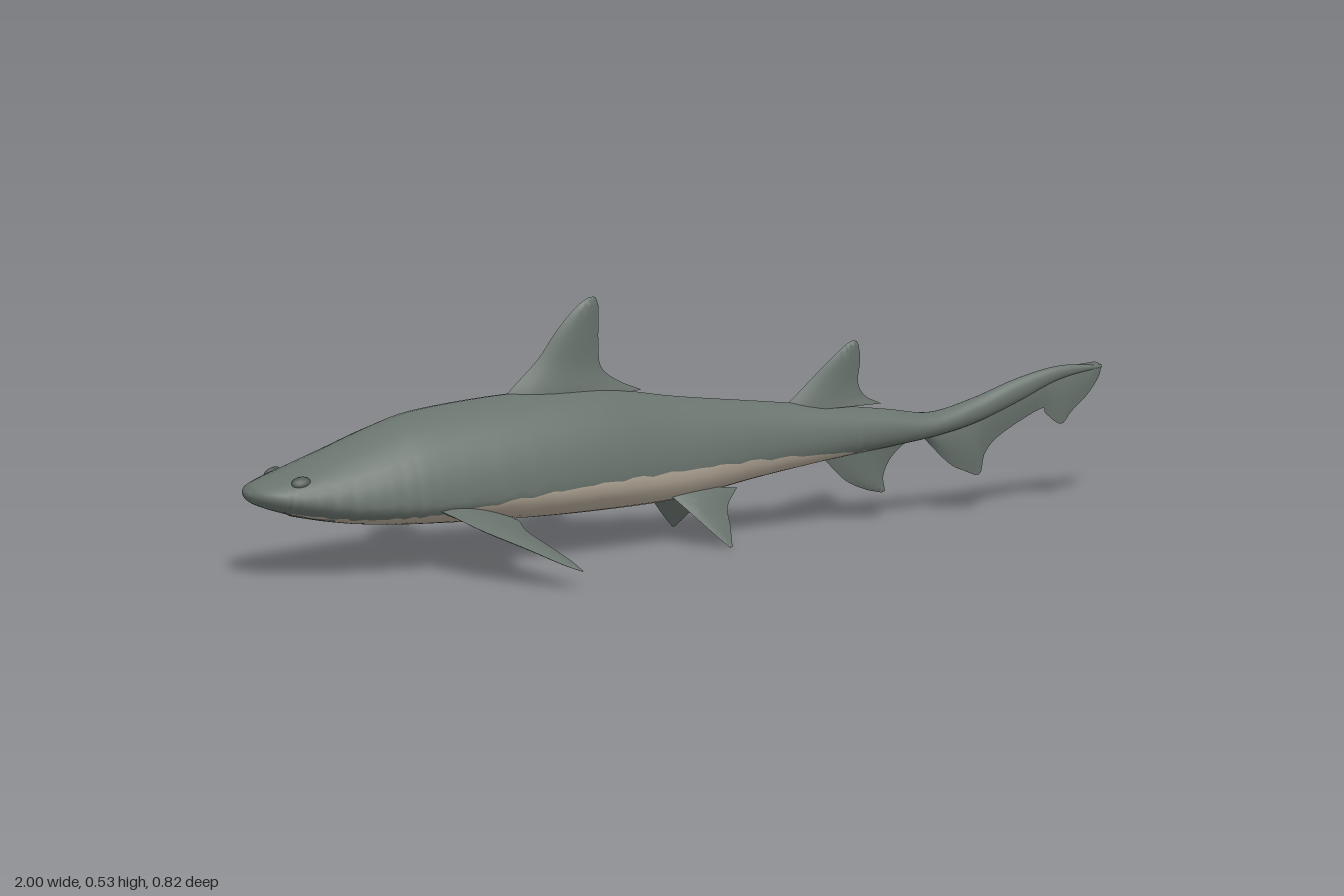
import * as THREE from 'three';
import { toCreasedNormals } from 'three/addons/utils/BufferGeometryUtils.js';

const V = (x, y, z = 0) => new THREE.Vector3(x, y, z);
const spline = pts => new THREE.CatmullRomCurve3(pts, false, 'catmullrom', 0.5);

// Skin closed rings of points into a capped solid; faces picked by isSecond get material 1
function loft(rings, isSecond = () => false) {
  const n = rings[0].length, pts = rings.flat(), lists = [[], []];
  for (let i = 0; i < rings.length - 1; i++) {
    for (let j = 0; j < n; j++) {
      const k = (j + 1) % n, a = i * n + j, b = i * n + k, c = a + n, d = b + n;
      lists[isSecond(i, j) ? 1 : 0].push(a, b, c, b, d, c);
    }
  }
  [0, rings.length - 1].forEach((r, end) => {
    const mid = V(0, 0);
    rings[r].forEach(p => mid.addScaledVector(p, 1 / n));
    pts.push(mid);
    for (let j = 0; j < n; j++) {
      const a = r * n + j, b = r * n + (j + 1) % n;
      lists[0].push(...(end ? [a, b, pts.length - 1] : [b, a, pts.length - 1]));
    }
  });
  // Turn all faces outward if the rings wound the other way
  const all = [...lists[0], ...lists[1]];
  let volume = 0;
  for (let i = 0; i < all.length; i += 3) {
    volume += pts[all[i]].dot(V(0, 0).crossVectors(pts[all[i + 1]], pts[all[i + 2]]));
  }
  if (volume < 0) {
    for (let i = 0; i < all.length; i += 3) [all[i + 1], all[i + 2]] = [all[i + 2], all[i + 1]];
  }
  const geo = new THREE.BufferGeometry().setFromPoints(pts);
  geo.setIndex(all);
  geo.addGroup(0, lists[0].length, 0);
  if (lists[1].length) geo.addGroup(lists[0].length, lists[1].length, 1);
  geo.computeVertexNormals();
  return geo;
}

// Lens-shaped fin between a leading and a trailing edge, thickened along normal
function finGeometry(lead, trail, thick, normal, side = 1, steps = 24) {
  const flip = p => V(p[0], p[1], (p[2] || 0) * side);
  const a = spline(lead.map(flip)), b = spline(trail.map(flip));
  const t = spline(thick.map(h => V(h, 0)));
  const nrm = flip(normal).normalize(), rings = [], K = 8;
  for (let i = 0; i <= steps; i++) {
    const u = i / steps, p = a.getPoint(u), q = b.getPoint(u), h = t.getPoint(u).x, ring = [];
    for (let j = 0; j < 2 * K; j++) {
      const s = j <= K ? j / K : 2 - j / K, sign = j <= K ? 1 : -1;
      const bulge = Math.sin(Math.PI * Math.pow(s, 0.8));
      ring.push(p.clone().lerp(q, s).addScaledVector(nrm, sign * h * bulge));
    }
    rings.push(ring);
  }
  return toCreasedNormals(loft(rings), 0.9);
}

// Body stations: x, top, bottom, half width, height fraction of widest point, belly line
const STATIONS = [
  [-1, .19, .18, .012, .5, .16], [-.985, .205, .165, .045, .5, .155],
  [-.95, .218, .15, .075, .45, .148], [-.9, .235, .135, .097, .4, .143],
  [-.8, .27, .113, .122, .32, .13], [-.7, .305, .102, .137, .28, .128],
  [-.6, .33, .096, .143, .26, .132], [-.4, .345, .088, .139, .28, .152],
  [-.2, .343, .086, .118, .3, .163], [0, .308, .093, .085, .33, .166],
  [.2, .28, .122, .055, .4, .166], [.4, .252, .148, .042, .45, .158],
  [.5, .237, .158, .036, .5, .15], [.6, .222, .17, .032, .5, .15],
  [.7, .243, .19, .023, .5, .15], [.8, .275, .225, .016, .5, .15],
  [.9, .294, .265, .01, .5, .15], [1, .288, .282, .003, .5, .15],
];

function bodyGeometry() {
  const outline = spline(STATIONS.map(s => V(s[0], s[1], s[2])));
  const shape = spline(STATIONS.map(s => V(s[3], s[4], s[5])));
  const steps = 136, U = 22, L = 12, rings = [], hasBelly = [];
  for (let i = 0; i <= steps; i++) {
    const { x, y: top, z: bottom } = outline.getPoint(i / steps);
    const { x: w, y: frac, z: line } = shape.getPoint(i / steps);
    const mid = bottom + (top - bottom) * frac;
    // Slightly ragged edge between back and belly
    const edge = line + 0.002 * Math.sin(i * 2.1) + 0.0015 * Math.sin(i * 4.7);
    const rel = edge > mid ? (edge - mid) / (top - mid) : (edge - mid) / (mid - bottom);
    const start = Math.max(-1.3, Math.asin(THREE.MathUtils.clamp(rel, -1, 0.6)));
    hasBelly.push(edge > bottom && x > -0.96 && x < 0.46);
    const ring = [];
    for (let j = 0; j < U + L; j++) {
      const ang = j <= U ? start + (Math.PI - 2 * start) * j / U
        : Math.PI - start + (Math.PI + 2 * start) * (j - U) / L;
      const s = Math.sin(ang), c = Math.cos(ang);
      const z = w * Math.sign(c) * Math.pow(Math.abs(c), s > 0 ? 1.22 : 0.82);
      ring.push(V(x, mid + s * (s > 0 ? top - mid : mid - bottom), z));
    }
    rings.push(ring);
  }
  return loft(rings, (i, j) => j >= U && hasBelly[i]);
}

export function createModel() {
  const group = new THREE.Group();
  const mat = (name, color) => {
    const m = new THREE.MeshStandardMaterial({ color });
    m.name = name;
    return m;
  };
  const skin = mat('greySkin', 0x69736d), belly = mat('paleBelly', 0xb5a999);
  const dark = mat('darkGrey', 0x4d5651);
  const add = (name, geo, material) => {
    const mesh = new THREE.Mesh(geo, material);
    mesh.name = name;
    group.add(mesh);
    return mesh;
  };

  add('body', bodyGeometry(), [skin, belly]);

  // Fins on the centre line
  const flat = [0, 0, 1];
  add('dorsalFin', finGeometry(
    [[-.42, .31], [-.385, .35], [-.32, .41], [-.275, .468], [-.235, .51], [-.205, .531], [-.188, .535]],
    [[-.075, .328], [-.13, .352], [-.17, .385], [-.176, .44], [-.175, .49], [-.176, .515], [-.182, .532]],
    [.026, .022, .013, .01, .008, .005, .001], flat), skin);
  add('secondDorsalFin', finGeometry(
    [[.25, .255], [.275, .275], [.33, .323], [.38, .365], [.41, .386], [.422, .389]],
    [[.485, .25], [.447, .27], [.431, .30], [.436, .345], [.433, .375], [.428, .387]],
    [.016, .013, .008, .006, .004, .001], flat), skin);
  add('analFin', finGeometry(
    [[.33, .165], [.35, .145], [.40, .095], [.445, .072], [.485, .061]],
    [[.54, .16], [.525, .15], [.502, .125], [.49, .095], [.494, .064]],
    [.014, .012, .008, .005, .001], flat), skin);
  add('tailFin', finGeometry(
    [[.56, .2], [.61, .21], [.65, .215], [.68, .225], [.70, .235], [.73, .25], [.79, .265], [.86, .28],
      [.875, .285], [.905, .29], [.93, .292], [.96, .294], [.985, .295], [.998, .288]],
    [[.575, .178], [.64, .112], [.68, .09], [.715, .08], [.726, .12], [.75, .15], [.80, .18], [.86, .207],
      [.87, .195], [.905, .17], [.93, .195], [.965, .225], [.992, .26], [1, .284]],
    [.012, .011, .01, .009, .008, .008, .007, .006, .006, .005, .005, .004, .003, .001], flat, 1, 52), skin);

  // Paired fins and eyes
  for (const [side, label] of [[1, 'left'], [-1, 'right']]) {
    add(label + 'PectoralFin', finGeometry(
      [[-.62, .14, .09], [-.61, .137, .15], [-.573, .113, .245], [-.515, .085, .33], [-.46, .057, .388], [-.425, .043, .41]],
      [[-.415, .10, .09], [-.43, .102, .14], [-.446, .095, .2], [-.438, .078, .28], [-.425, .058, .36], [-.419, .042, .409]],
      [.018, .015, .011, .008, .005, .001], [0, .95, .3], side), skin);
    add(label + 'PelvicFin', finGeometry(
      [[-.045, .12, .045], [-.01, .08, .085], [.03, .037, .113], [.064, .003, .132]],
      [[.13, .108, .035], [.096, .075, .06], [.086, .04, .092], [.071, .004, .131]],
      [.011, .009, .005, .001], [0, .6, .8], side), skin);
    const eye = add(label + 'Eye', new THREE.SphereGeometry(1, 20, 12), dark);
    eye.scale.set(.021, .014, .008);
    eye.position.set(-.905, .213, .067 * side);
    eye.rotation.set(-.7 * side, -.25 * side, 0);
  }

  // Mouth line under the snout
  const mouth = [[-.83, .127, -.075], [-.86, .13, -.05], [-.9, .135, 0], [-.86, .13, .05], [-.83, .127, .075]];
  add('mouth', new THREE.TubeGeometry(spline(mouth.map(p => V(...p))), 24, .003, 6), dark);
  return group;
}
